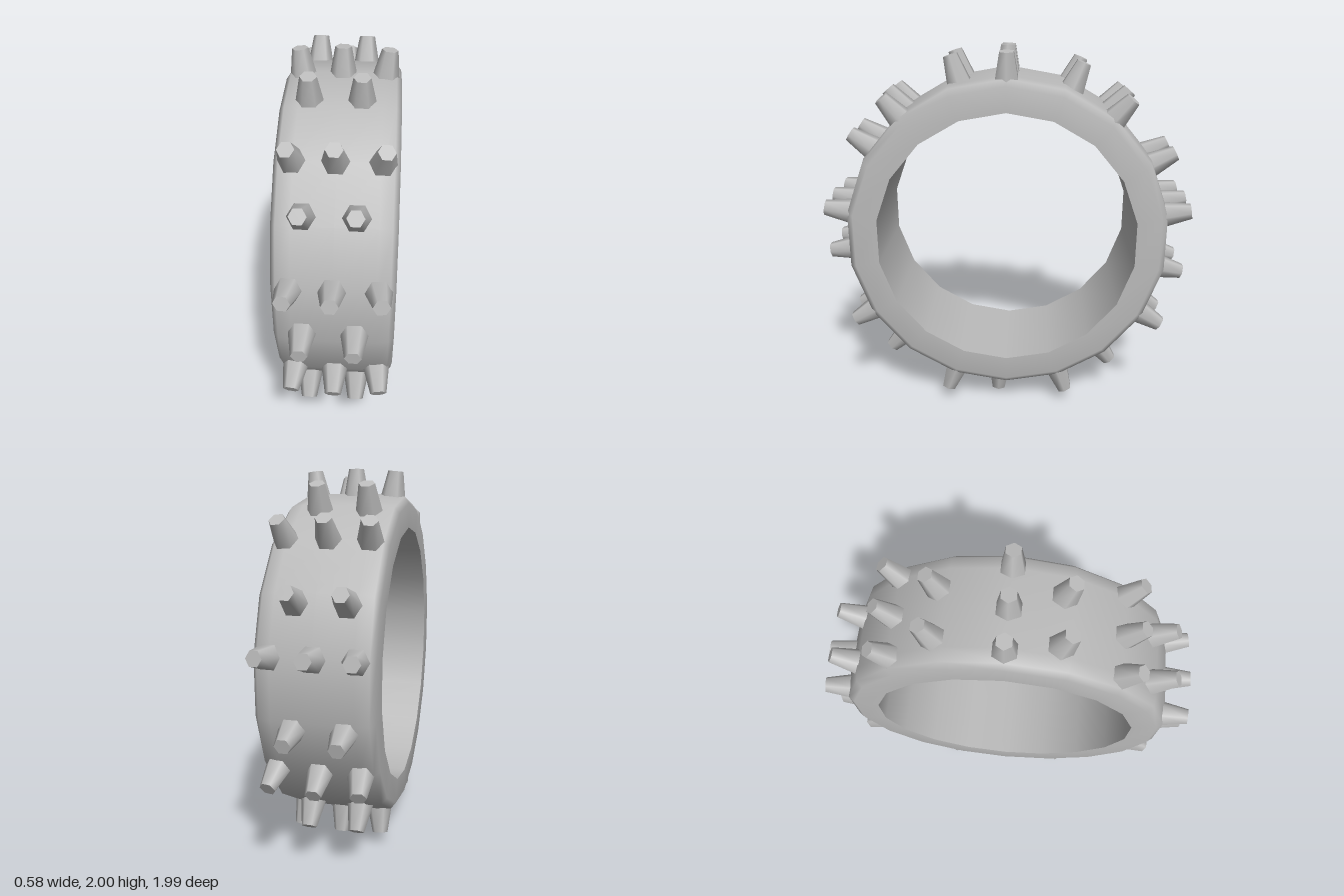
import * as THREE from 'three';

const SIDES = 18;
const CENTRE_Y = 0.997;

export function createModel() {
  const group = new THREE.Group();
  group.name = 'studdedRing';
  const grey = new THREE.MeshStandardMaterial({ color: 0xbbbbbb });
  grey.name = 'plain grey';

  // Spin a profile of [radius, x] points around the x axis, with a corner at the top
  const spin = (name, points) => {
    const profile = points.map(([r, x]) => new THREE.Vector2(r, x));
    const geometry = new THREE.LatheGeometry(profile, SIDES, Math.PI / 2);
    geometry.rotateZ(-Math.PI / 2);
    const mesh = new THREE.Mesh(geometry, grey);
    mesh.name = name;
    mesh.position.y = CENTRE_Y;
    group.add(mesh);
  };

  // Rounded tread with both side walls
  spin('tread', [
    [0.695, -0.293], [0.825, -0.293], [0.858, -0.268], [0.868, -0.2],
    [0.87, 0], [0.868, 0.2], [0.858, 0.262], [0.825, 0.288], [0.695, 0.29],
  ]);

  // Inner bore
  spin('bore', [[0.695, 0.29], [0.695, -0.293]]);

  // Six-sided tapered stud, pointing outwards with corners along x
  const studGeometry = new THREE.CylinderGeometry(0.041, 0.073, 0.17, 6, 1, false, Math.PI / 2);
  studGeometry.translate(0, 0.915, 0);

  // Row of studs across the tread; each has an x position and a sideways lean
  const addRow = (name, degrees, studs) => {
    const row = new THREE.Group();
    row.name = name;
    row.position.y = CENTRE_Y;
    row.rotation.x = THREE.MathUtils.degToRad(degrees);
    for (const [x, lean] of studs) {
      const stud = new THREE.Mesh(studGeometry, grey);
      stud.name = 'stud';
      stud.rotation.z = -lean;
      // Offset so the lean pivots about the stud's foot
      stud.position.set(x - 0.86 * Math.sin(lean), 0.86 * (1 - Math.cos(lean)), 0);
      if (lean) stud.position.y -= 0.012;
      row.add(stud);
    }
    group.add(row);
  };

  // Alternate rows of three and two around the ring
  for (let i = 0; i < 9; i++) {
    addRow('tripleStudRow', i * 40, [[-0.205, -0.1], [-0.005, 0], [0.207, 0.12]]);
    addRow('doubleStudRow', i * 40 + 17, [[-0.15, 0], [0.1, 0]]);
  }

  return group;
}
